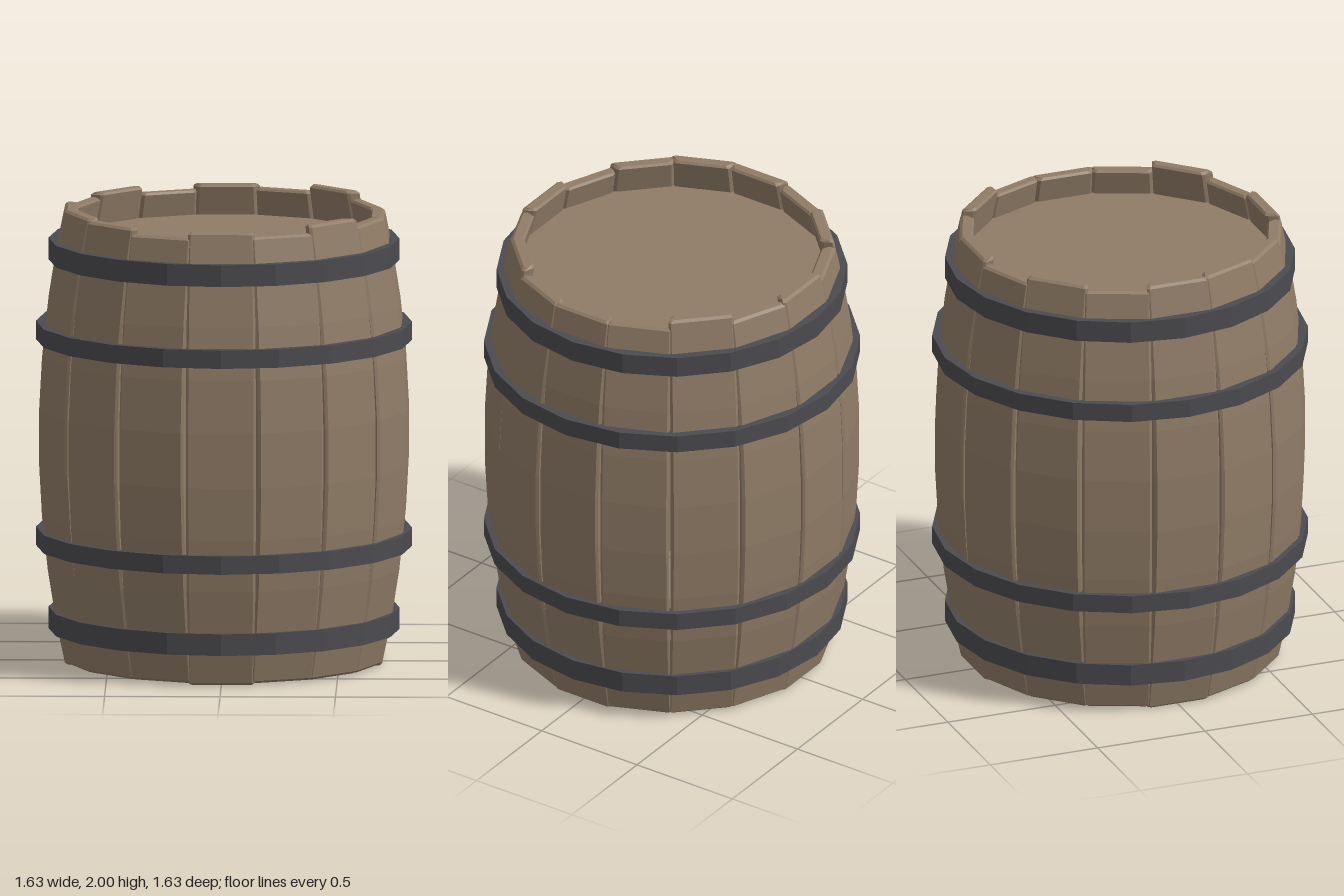
import * as THREE from 'three';

const STAVES = 16, THICK = 0.06, BEVEL = 0.01;
// individual stave tops, counted from the front towards +x
const TOPS = [1.985, 1.965, 2, 1.965, 1.965, 1.965, 2, 1.97, 1.985, 1.96, 1.99, 1.97, 1.99, 1.995, 1.985, 1.96];

const bulge = (y) => 0.8 - 0.115 * (y - 1) ** 2;

function flat(geometry) {
  const g = geometry.index ? geometry.toNonIndexed() : geometry;
  g.computeVertexNormals();
  return g;
}

// chamfered cross-section of a stave at height y, shrunk by inset at the ends
function staveRing(y, inset) {
  const outer = bulge(y) - inset, inner = bulge(y) - THICK + inset;
  const w = 0.152 - 0.009 * (y - 1) ** 2 - inset;
  const wi = Math.min(w, (bulge(y) - THICK) * Math.tan(Math.PI / STAVES) - inset);
  const b = BEVEL;
  return [
    [-w + b, outer], [w - b, outer], [w, outer - b], [wi, inner + b],
    [wi - b, inner], [-wi + b, inner], [-wi, inner + b], [-w, outer - b],
  ].map(([x, z]) => [x, y, z]);
}

function staveGeometry(bottom, top) {
  const rings = [staveRing(bottom, BEVEL), staveRing(bottom + BEVEL, 0)];
  for (const y of [0.2, 0.42, 0.65, 0.88, 1.12, 1.35, 1.58, 1.8]) rings.push(staveRing(y, 0));
  rings.push(staveRing(top - BEVEL, 0), staveRing(top, BEVEL));
  const n = rings[0].length, index = [];
  for (let i = 0; i < rings.length - 1; i++) {
    for (let j = 0; j < n; j++) {
      const a = i * n + j, b = i * n + (j + 1) % n;
      index.push(a, b, b + n, a, b + n, a + n);
    }
  }
  // end caps
  const last = (rings.length - 1) * n;
  for (let j = 1; j < n - 1; j++) {
    index.push(0, j + 1, j, last, last + j, last + j + 1);
  }
  const g = new THREE.BufferGeometry();
  g.setAttribute('position', new THREE.Float32BufferAttribute(rings.flat(2), 3));
  g.setIndex(index);
  return flat(g);
}

function hoopGeometry(y0, y1, radius) {
  const inner = radius - 0.045;
  const profile = [[inner, y0], [radius, y0], [radius, y1], [inner, y1], [inner, y0]];
  return flat(new THREE.LatheGeometry(profile.map(([r, y]) => new THREE.Vector2(r, y)), 20));
}

export function createModel() {
  const wood = new THREE.MeshStandardMaterial({ color: 0x907c67 });
  wood.name = 'wood';
  const iron = new THREE.MeshStandardMaterial({ color: 0x4b4b50 });
  iron.name = 'iron';

  const barrel = new THREE.Group();
  barrel.name = 'barrel';
  const add = (name, geometry, material) => {
    const mesh = new THREE.Mesh(geometry, material);
    mesh.name = name;
    barrel.add(mesh);
    return mesh;
  };

  // curved staves with uneven ends
  TOPS.forEach((top, i) => {
    const stave = add('stave', staveGeometry(i % 4 === 0 ? 0 : 0.008, top), wood);
    stave.rotation.y = (i / STAVES) * Math.PI * 2;
  });

  // recessed lid; the underside of the barrel is open
  const lid = add('lid', flat(new THREE.CylinderGeometry(0.675, 0.675, 0.04, STAVES)), wood);
  lid.position.y = 1.83;
  lid.rotation.y = Math.PI / STAVES;

  // iron hoops, mirrored about mid-height
  for (const [y0, y1, r] of [[0.14, 0.235, 0.76], [0.505, 0.585, 0.815]]) {
    add('lowerHoop', hoopGeometry(y0, y1, r), iron);
    add('upperHoop', hoopGeometry(1.993 - y1, 1.993 - y0, r), iron);
  }
  return barrel;
}
